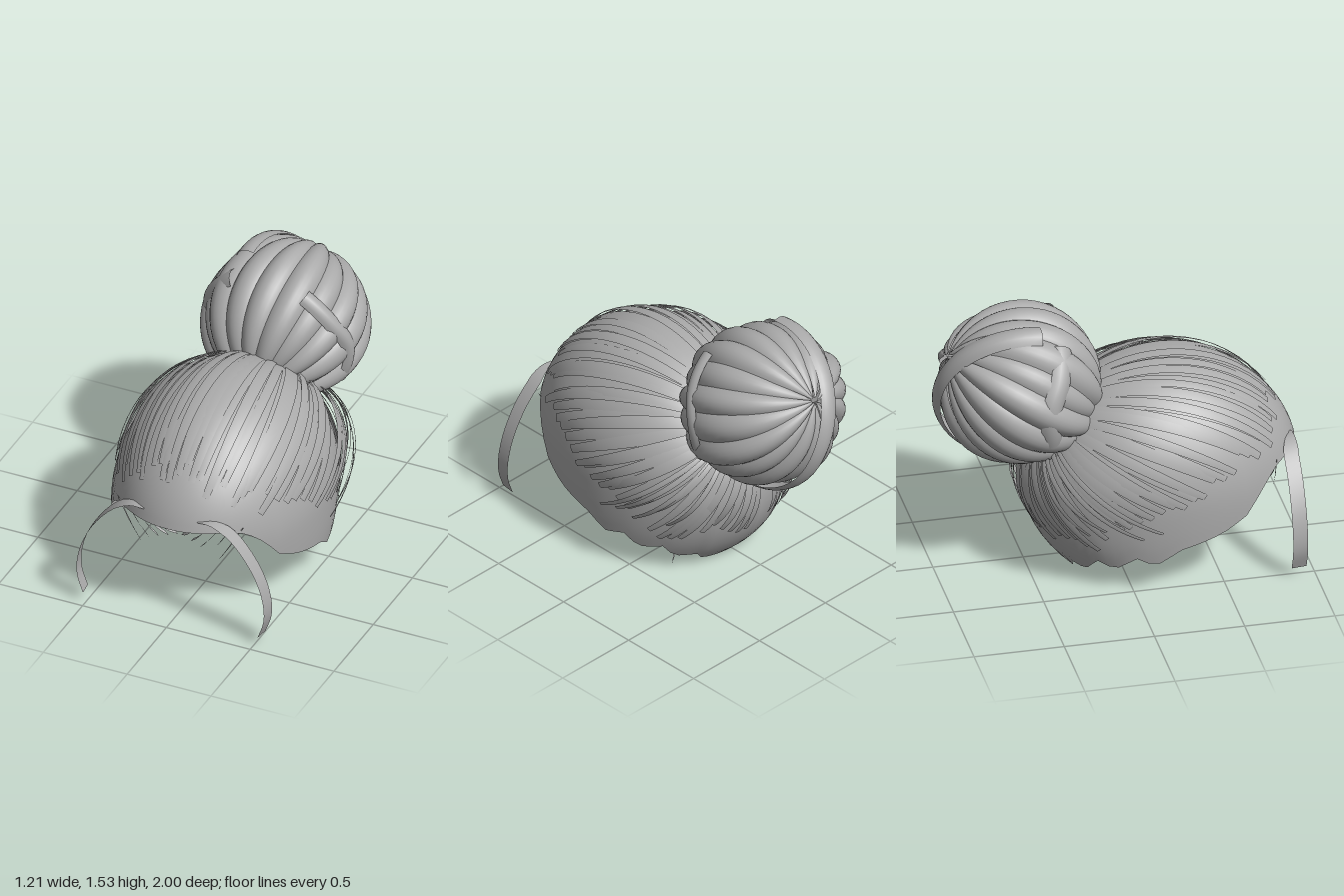
import * as THREE from 'three';
import { mergeGeometries } from 'three/addons/utils/BufferGeometryUtils.js';

const V = (x, y, z) => new THREE.Vector3(x, y, z);
const RAD = Math.PI / 180;

// Seeded random numbers
function seeded(seed) {
  return () => (seed = (seed * 16807) % 2147483647) / 2147483647;
}

// Surface patch from a function f(u, v) -> Vector3
function grid(nu, nv, f) {
  const pos = [], index = [];
  for (let i = 0; i <= nu; i++)
    for (let j = 0; j <= nv; j++) pos.push(...f(i / nu, j / nv).toArray());
  for (let i = 0; i < nu; i++)
    for (let j = 0; j < nv; j++) {
      const a = i * (nv + 1) + j, b = a + nv + 1;
      index.push(a, b, a + 1, b, b + 1, a + 1);
    }
  const g = new THREE.BufferGeometry();
  g.setAttribute('position', new THREE.Float32BufferAttribute(pos, 3));
  g.setIndex(index);
  g.computeVertexNormals();
  return g;
}

// Point on the scalp ellipsoid for a unit direction, raised by lift
function scalp(d, lift = 0) {
  const flare = d.y < 0 ? 1 + 0.4 * d.y * d.y : 1;
  return V(d.x * (0.58 * flare + lift), 0.5 + d.y * (0.67 + lift), 0.25 + d.z * (0.76 + lift));
}

// Unit direction from azimuth (0 = front) and height on the scalp
function direction(azimuth, y) {
  const dy = (y - 0.5) / 0.67, r = Math.sqrt(1 - dy * dy);
  return V(Math.sin(azimuth * RAD) * r, dy, Math.cos(azimuth * RAD) * r);
}

// Linear lookup in a list of [key, value]
function lookup(list, k) {
  for (let i = 1; i < list.length; i++)
    if (k <= list[i][0]) {
      const [a, b] = [list[i - 1], list[i]];
      return a[1] + (b[1] - a[1]) * (k - a[0]) / (b[0] - a[0]);
    }
  return list[list.length - 1][1];
}

// Strand lying along a great arc of the scalp
function scalpStrand(from, to, width, lift) {
  const axis = from.clone().cross(to).normalize(), angle = from.angleTo(to);
  return grid(18, 2, (t, v) => {
    const d = from.clone().applyAxisAngle(axis, angle * t);
    const w = width * (0.65 + 0.35 * Math.sin(Math.PI * t));
    d.addScaledVector(axis, (v - 0.5) * w / 0.65).normalize();
    return scalp(d, 0.008 + lift * Math.sin(Math.PI * t) - 0.004 * Math.abs(v - 0.5));
  });
}

// Free ribbon along a curve with a fixed width direction
function ribbon(points, across, width, taper) {
  const curve = new THREE.CatmullRomCurve3(points);
  return grid(20, 1, (t, v) =>
    curve.getPoint(t).addScaledVector(across, (v - 0.5) * width * taper(t)));
}

export function createModel() {
  const model = new THREE.Group();
  const hair = new THREE.MeshStandardMaterial({ color: 0xaaaaaa, side: THREE.DoubleSide });
  hair.name = 'hair grey';
  const add = (name, geometries) => {
    const mesh = new THREE.Mesh(mergeGeometries([geometries].flat()), hair);
    mesh.name = name;
    model.add(mesh);
  };
  const rand = seeded(71);

  // Scalp cap with an uneven hairline
  const hairline = [[0, 0.65], [28, 0.645], [42, 0.62], [52, 0.53], [60, 0.41], [72, 0.34], [90, 0.28],
    [100, 0.2], [112, 0.18], [130, 0.14], [142, 0.1], [155, 0.04], [180, 0.015]];
  add('scalpCap', grid(72, 24, (u, v) => {
    const az = u * 360 - 180, k = Math.round(u * 72);
    const jag = Math.abs(az) > 95 && Math.abs(az) < 160 ? [0, 0.025, 0.05, 0.01][k % 4] : 0;
    const low = Math.acos((lookup(hairline, Math.abs(az)) + jag - 0.5) / 0.67);
    const phi = v * low;
    return scalp(V(Math.sin(az * RAD) * Math.sin(phi), Math.cos(phi), Math.cos(az * RAD) * Math.sin(phi)));
  }));

  // Strands combed from the hairline to the knot
  const knot = (a) => V(Math.sin(a * RAD) * 0.2, 0.58 + 0.1 * Math.cos(a * RAD), -0.78).normalize();
  const top = [], sides = [], back = [];
  for (let i = 0; i < 33; i++) {
    const az = -80 + i * 5;
    const y = 0.93 - 0.28 * Math.abs(az) / 80 + (rand() - 0.5) * 0.12;
    top.push(scalpStrand(direction(az, y), knot(az), 0.045 + rand() * 0.025, 0.015 + rand() * 0.035));
  }
  for (const s of [-1, 1]) {
    for (let i = 0; i < 8; i++) {
      const az = 84 + i * 4.5;
      sides.push(scalpStrand(direction(s * az, 0.55 - i * 0.02 + rand() * 0.07), knot(s * az),
        0.05, 0.015 + rand() * 0.05));
    }
    for (let i = 0; i < 11; i++) {
      const az = 122 + i * 5;
      back.push(scalpStrand(direction(s * az, 0.26 + rand() * 0.12), knot(s * az),
        0.045, 0.02 + rand() * 0.04));
    }
    // Loose loops standing off the sides
    for (let i = 0; i < 5; i++)
      sides.push(scalpStrand(direction(s * (98 + i * 8), 0.36 + rand() * 0.08), knot(s * 110),
        0.025, 0.08 + rand() * 0.03));
  }
  add('topStrands', top);
  add('sideStrands', sides);
  add('backStrands', back);

  // Bun of rounded locks running from pole to pole
  const centre = V(0, 1.1, -0.52);
  const turn = new THREE.Quaternion().setFromUnitVectors(V(0, 1, 0), V(0, 0.48, -0.88).normalize());
  const locks = [], count = 17;
  for (let i = 0; i < count; i++) {
    const mid = i / count * Math.PI * 2, half = Math.PI / count * (1.08 + rand() * 0.3);
    const R = 0.435 + rand() * 0.035, skew = 0.25 + rand() * 0.1;
    locks.push(grid(24, 8, (t, v) => {
      const th = 0.04 + t * 2.75, s = v * 2 - 1;
      const a = mid + s * half + skew * (t - 0.3);
      const r = R - 0.05 * s * s * Math.sin(th);
      return V(Math.sin(th) * Math.cos(a), Math.cos(th), Math.sin(th) * Math.sin(a))
        .multiplyScalar(r).applyQuaternion(turn).add(centre);
    }));
  }
  add('bunLocks', locks);

  // Broad locks wrapped across the bun
  const wrap = (dirs, width, R) => {
    const path = new THREE.CatmullRomCurve3(dirs.map((d) => V(...d).normalize()));
    return grid(32, 6, (t, v) => {
      const d = path.getPoint(t).normalize();
      const across = path.getTangent(t).cross(d).normalize(), s = v * 2 - 1;
      return d.addScaledVector(across, s * width / 2 / R).normalize()
        .multiplyScalar(R - 0.025 * s * s).add(centre);
    });
  };
  add('bunWraps', [
    wrap([[-0.45, 0.85, 0.15], [-0.4, 0.8, -0.45], [-0.2, 0.4, -0.9], [0.02, -0.2, -1], [0.15, -0.8, -0.55], [0.2, -1, -0.1]], 0.13, 0.487),
    wrap([[-0.5, 0.7, 0.4], [-0.85, 0.45, 0.35], [-1, 0.1, 0.2], [-0.85, -0.4, 0.2]], 0.13, 0.46),
    wrap([[0.45, 0.7, 0.45], [0.8, 0.4, 0.4], [1, 0, 0.25], [0.8, -0.45, 0.2]], 0.1, 0.465),
  ]);

  // Curved tendrils framing the face
  for (const s of [-1, 1]) {
    const path = [[0.16, 0.71, 0.94], [0.24, 0.712, 0.925], [0.33, 0.67, 0.91], [0.43, 0.57, 0.91],
      [0.52, 0.42, 0.91], [0.56, 0.28, 0.91], [0.56, 0.17, 0.91], [0.525, 0.065, 0.91]];
    add(s > 0 ? 'leftTendril' : 'rightTendril',
      ribbon(path.map(([x, y, z]) => V(s * x, y, z)), V(-s * 0.12, 0, 1).normalize(), 0.085,
        (t) => Math.min(1, 0.25 + t * 3)));
  }

  // Short strands hanging under the front hairline and inside the sides
  const fringe = [], inner = [];
  for (const s of [-1, 1]) {
    for (let i = 0; i < 5; i++) {
      const x = 0.15 + i * 0.055;
      fringe.push(ribbon([V(s * x, 0.655, 0.9 - i * 0.02), V(s * (x - 0.08), 0.57 - i * 0.015, 0.87 - i * 0.01),
        V(s * (x - 0.13), 0.53 - i * 0.025, 0.83)], V(s * 0.6, 0.8, 0), 0.045, (t) => 1 - 0.3 * t));
    }
    for (let i = 0; i < 4; i++)
      inner.push(ribbon([V(s * 0.46, 0.58 - i * 0.05, 0.6 - i * 0.05), V(s * 0.42, 0.45 - i * 0.03, 0.52 - i * 0.04),
        V(s * (0.34 + i * 0.04), 0.37 - i * 0.025, 0.47 - i * 0.03)], V(s * 0.5, 0.5, 0.7), 0.06, (t) => 1 - 0.3 * t));
  }
  add('fringeStrands', fringe);
  add('innerStrands', inner);

  // Pointed loose ends below the left side
  const tips = [];
  for (let i = 0; i < 6; i++)
    tips.push(ribbon([V(0.42 - i * 0.03, 0.32, 0.02 - i * 0.03), V(0.36 - i * 0.02, 0.2, 0.01 - i * 0.03),
      V(0.2 + i * 0.03, 0.13 - (i % 3) * 0.05, -i * 0.035)], V(0.5, 0.4, 0.75), 0.07, (t) => 1 - t));
  add('looseTips', tips);

  return model;
}
